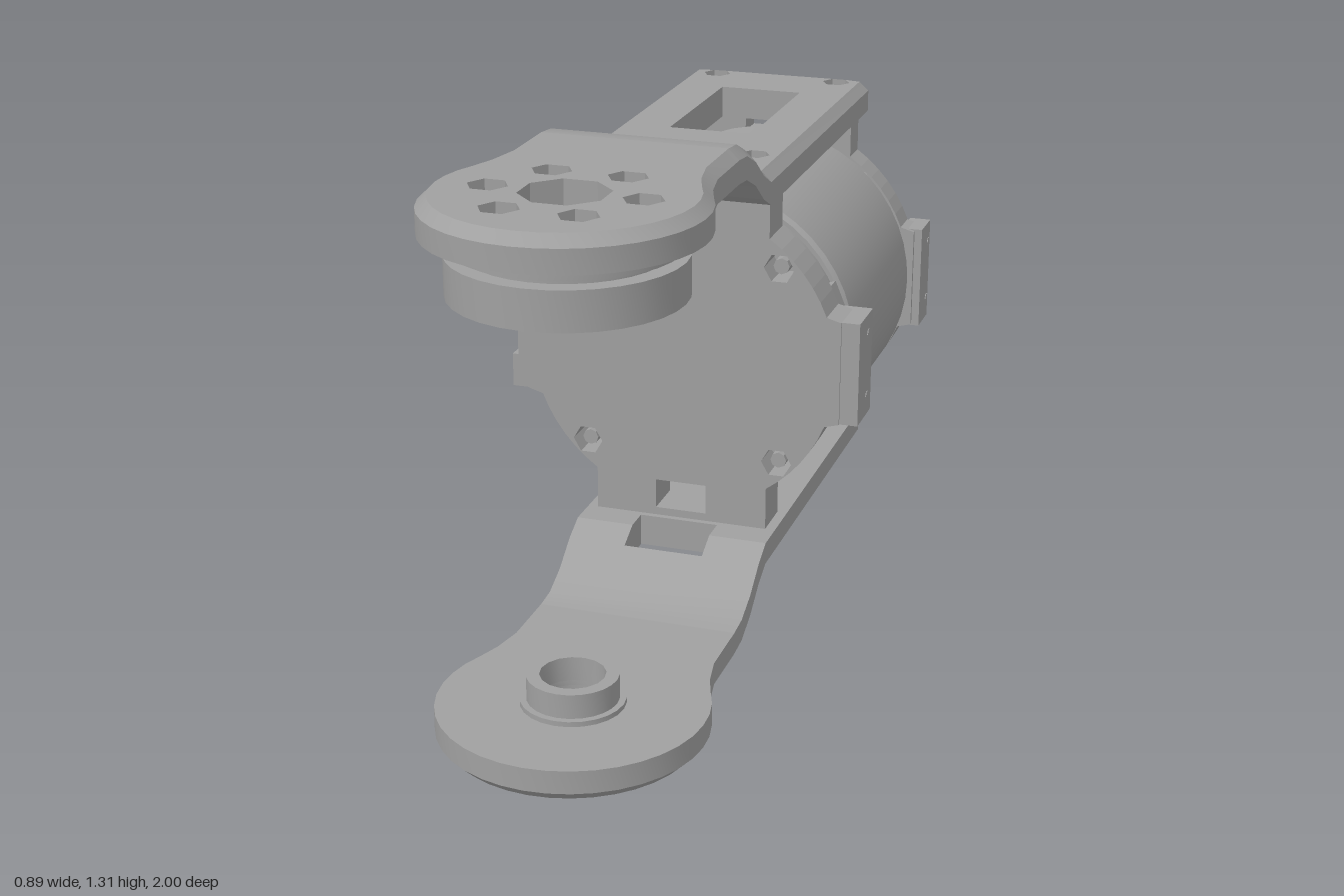
import * as THREE from 'three';
import { toCreasedNormals } from 'three/addons/utils/BufferGeometryUtils.js';

const V = (x, y) => new THREE.Vector2(x, y);
const T = 0.08;   // arm thickness
const C = 0.025;  // arm edge chamfer
const CY = 0.68;  // height of the motor axis
const DZ = 0.69;  // z of the arm pivot

// regular polygon, used for holes and discs
function ngon(x, y, r, n = 6, start = 0) {
  return Array.from({ length: n }, (_, i) => {
    const a = start + (i / n) * Math.PI * 2;
    return V(x + r * Math.cos(a), y + r * Math.sin(a));
  });
}

function rect(x0, x1, y0, y1) {
  return [V(x0, y0), V(x1, y0), V(x1, y1), V(x0, y1)];
}

function extrude(pts, holes, depth, steps = 1) {
  const shape = new THREE.Shape(pts);
  shape.holes = holes.map((h) => new THREE.Path(h));
  return new THREE.ExtrudeGeometry(shape, { depth, steps, bevelEnabled: false });
}

// horizontal slab, top face at y = 0, with its outer top edge chamfered
const JOINS = [0, -0.065, 0.26];
function slab(pts, holes) {
  const g = extrude(pts, holes, T, 2);
  const inset = pts.map((p, i) => {
    if (JOINS.includes(p.y)) return V(Math.abs(p.x) > 0.2 ? p.x - Math.sign(p.x) * C : p.x, p.y);
    const a = pts[(i + pts.length - 1) % pts.length], b = pts[(i + 1) % pts.length];
    const n = V(b.y - a.y, a.x - b.x).normalize();
    return V(p.x - n.x * C, p.y - n.y * C);
  });
  const pos = g.attributes.position;
  for (let i = 0; i < pos.count; i++) {
    const x = pos.getX(i), y = pos.getY(i), z = pos.getZ(i);
    if (Math.abs(z - T / 2) < 1e-4) pos.setZ(i, C);
    if (z > 1e-4) continue;
    const k = pts.findIndex((p) => Math.hypot(p.x - x, p.y - y) < 1e-4);
    if (k >= 0) pos.setXY(i, inset[k].x, inset[k].y);
  }
  g.rotateX(Math.PI / 2);
  return toCreasedNormals(g, 0.45);
}

// solid through rings of points, each ring counter-clockwise seen from +z
function loft(rings) {
  const n = rings[0].length, v = [];
  const tri = (...p) => p.forEach((q) => v.push(...q));
  for (let i = 0; i < rings.length - 1; i++) {
    for (let j = 0; j < n; j++) {
      const k = (j + 1) % n, A = rings[i], B = rings[i + 1];
      tri(A[j], A[k], B[k]);
      tri(A[j], B[k], B[j]);
    }
  }
  const F = rings[0], L = rings[rings.length - 1];
  for (let j = 1; j < n - 1; j++) {
    tri(F[0], F[j + 1], F[j]);
    tri(L[0], L[j], L[j + 1]);
  }
  const g = new THREE.BufferGeometry();
  g.setAttribute('position', new THREE.Float32BufferAttribute(v, 3));
  g.computeVertexNormals();
  return toCreasedNormals(g, 0.45);
}

// piece of the sloping arm neck; c0 and c1 are the chamfers of its two sides
function neck(path, x0, x1, c0, c1) {
  return loft(path.map(([z, y]) => [
    [x0, y - T, z], [x1, y - T, z], [x1, y - C, z], [x1 - c1, y, z], [x0 + c0, y, z], [x0, y - C, z],
  ]));
}

// motor end plate: disc joined with a vertical strip and short side ears
function endPlate(holes, depth) {
  const q = [V(0.4, 0.13), V(0.364, 0.14)];
  for (let i = 1; i <= 6; i++) {
    const a = 0.367 + (0.604 * i) / 6;
    q.push(V(0.39 * Math.cos(a), 0.39 * Math.sin(a)));
  }
  q.push(V(0.22, 0.43));
  const flip = (sx, sy) => q.map((p) => V(p.x * sx, p.y * sy));
  return extrude([...q, ...flip(-1, 1).reverse(), ...flip(-1, -1), ...flip(1, -1).reverse()], holes, depth);
}

export function createModel() {
  const grey = new THREE.MeshStandardMaterial({ color: 0xa0a0a0 });
  grey.name = 'grey plastic';
  const root = new THREE.Group();
  const add = (name, g, x = 0, y = 0, z = 0, parent = root) => {
    const m = new THREE.Mesh(g, grey);
    m.name = name;
    m.position.set(x, y, z);
    parent.add(m);
    return m;
  };
  const box = (name, w, h, d, x, y, z) => add(name, new THREE.BoxGeometry(w, h, d), x, y, z);
  const cyl = (r, h, n = 32) => toCreasedNormals(new THREE.CylinderGeometry(r, r, h, n), 0.5);

  // arms: flat rear slab, sloping neck and round pivot end
  const rear = [V(-0.245, -0.93), V(0.245, -0.93), V(0.245, 0), V(0.1, 0), V(0.1, -0.065),
    V(-0.1, -0.065), V(-0.1, 0), V(-0.245, 0)];
  const boltSpots = [[-0.165, -0.895], [0.165, -0.895], [-0.165, -0.135], [0.165, -0.135]];
  const rearHoles = [rect(-0.105, 0.105, -0.75, -0.31), ...boltSpots.map(([x, z]) => ngon(x, z, 0.036))];
  const end = [V(-0.245, 0.26), V(0.245, 0.26), V(0.245, 0.42), V(0.26, 0.5)];
  for (let i = 0; i <= 24; i++) {
    const a = -0.45 + ((Math.PI + 0.9) * i) / 24;
    end.push(V(0.31 * Math.cos(a), DZ + 0.31 * Math.sin(a)));
  }
  end.push(V(-0.26, 0.5), V(-0.245, 0.42));
  const slope = [[0, 0.51], [0.06, 0.54], [0.13, 0.592], [0.2, 0.624], [0.26, 0.63]];

  function arm(name, endHoles) {
    const a = new THREE.Group();
    a.name = name;
    a.position.y = CY;
    root.add(a);
    add('armRear', slab(rear, rearHoles), 0, 0.51, 0, a);
    add('armNeck', neck(slope.slice(1), -0.245, 0.245, C, C), 0, 0, 0, a);
    add('neckRailLeft', neck(slope.slice(0, 2), 0.1, 0.245, 0, C), 0, 0, 0, a);
    add('neckRailRight', neck(slope.slice(0, 2), -0.245, -0.1, C, 0), 0, 0, 0, a);
    add('armEnd', slab(end, endHoles), 0, 0.63, 0, a);
    for (const [x, z] of boltSpots) add('armBolt', cyl(0.02, 0.06, 8), x, 0.46, z, a);
    return a;
  }
  const ring = ngon(0, DZ, 0.172);
  arm('upperArm', [ngon(0, DZ, 0.1, 8, 0.39), ...ring.map((p) => ngon(p.x, p.y, 0.046))]);
  arm('lowerArm', [ngon(0, DZ, 0.075, 16)]).rotation.z = Math.PI;

  // pivot horn under the upper arm
  add('hornCollar', cyl(0.25, 0.04), 0, 1.215, DZ - 0.01);
  add('hornCore', cyl(0.22, 0.03), 0, 1.185, DZ - 0.01);
  const hornHoles = [ngon(0, 0, 0.05, 10), ...ngon(0, 0, 0.16).map((p) => ngon(p.x, p.y, 0.03, 8))];
  const horn = toCreasedNormals(extrude(ngon(0, 0, 0.26, 32), hornHoles, 0.09), 0.5);
  add('hornDisc', horn.rotateX(Math.PI / 2), 0, 1.18, DZ - 0.01);
  for (const p of ring) add('hornBolt', cyl(0.024, 0.05, 8), p.x, 1.25, p.y);

  // hollow boss on the lower arm
  const tube = (r, h) => toCreasedNormals(extrude(ngon(0, 0, r, 24), [ngon(0, 0, 0.075, 16)], h), 0.5).rotateX(Math.PI / 2);
  add('bossFlange', tube(0.12, 0.012), 0, 0.142, DZ);
  add('boss', tube(0.105, 0.07), 0, 0.2, DZ);

  // cable strap below the lower arm
  const strap = [[-0.13, 0.055], [-0.07, 0.03], [-0.02, 0.003], [0.02, 0.003], [0.07, 0.03], [0.13, 0.055]];
  const strapPts = [...strap.map(([x, y]) => V(x, y)), ...strap.map(([x, y]) => V(x * 0.9, y + 0.018)).reverse()];
  add('cableStrap', extrude(strapPts, [], 0.1), 0, 0, 0.33);

  // motor body along z
  const body = [[0, -0.85], [0.375, -0.85], [0.39, -0.835], [0.39, -0.26], [0.38, -0.25], [0.37, -0.25], [0.37, -0.17], [0, -0.17]];
  const can = new THREE.LatheGeometry(body.map(([r, z]) => V(r, z)), 48).rotateX(Math.PI / 2);
  add('motorBody', toCreasedNormals(can, 0.5), 0, CY, 0);
  for (let i = 0; i < 8; i++) {
    const a = ((i + 0.5) / 8) * Math.PI * 2;
    box('bodyClip', 0.03, 0.07, 0.055, 0.37 * Math.cos(a), CY + 0.37 * Math.sin(a), -0.215).rotation.z = a;
  }

  // end plates with hexagonal bolt holes
  const corners = [[0.245, 0.25], [-0.245, 0.25], [-0.245, -0.25], [0.245, -0.25]];
  const hexes = corners.map(([x, y]) => ngon(x, y, 0.038));
  const frontSlots = [rect(-0.065, 0.065, 0.335, 0.41), rect(-0.065, 0.065, -0.41, -0.335)];
  add('frontPlate', endPlate([...hexes, ...frontSlots], 0.11), 0, CY, -0.19);
  const backHoles = [ngon(0, 0, 0.255, 32), ngon(0, 0.31, 0.035), ngon(0, -0.31, 0.035),
    rect(-0.07, 0.07, 0.37, 0.41), rect(-0.07, 0.07, -0.41, -0.37)];
  add('backPlate', endPlate([...hexes, ...backHoles], 0.08), 0, CY, -0.93);
  for (const [x, y] of corners) {
    for (const z of [-0.135, -0.885]) add('plateBolt', cyl(0.02, 0.07, 8).rotateX(Math.PI / 2), x, CY + y, z);
  }

  // recessed rear cap with four small holes
  const capHoles = ngon(0, 0, 0.15, 4, Math.PI / 4).map((p) => ngon(p.x, p.y, 0.012, 6));
  add('rearCap', extrude(ngon(0, 0, 0.225, 32), capHoles, 0.03), 0, CY, -0.875);

  // side ears; the right front one is notched in the middle
  const pin = (x, y, z) => add('earPin', cyl(0.012, 0.008, 6).rotateZ(Math.PI / 2), x, y, z);
  box('frontEarLeft', 0.075, 0.26, 0.125, 0.4075, CY, -0.1475);
  box('frontEarRight', 0.06, 0.26, 0.125, -0.4, CY, -0.1475);
  for (const s of [-1, 1]) {
    box('frontEarBlock', 0.02, 0.085, 0.125, -0.435, CY + s * 0.0875, -0.1475);
    box('backEar', 0.055, 0.27, 0.1, s * 0.3925, CY, -0.91);
    for (const y of [CY - 0.08, CY + 0.08]) {
      pin(s * 0.443, y, -0.17);
      pin(s * 0.418, y, -0.94);
    }
  }

  // cable socket on the back plate
  box('cableSocket', 0.17, 0.16, 0.09, -0.245, 0.44, -0.955);
  return root;
}
